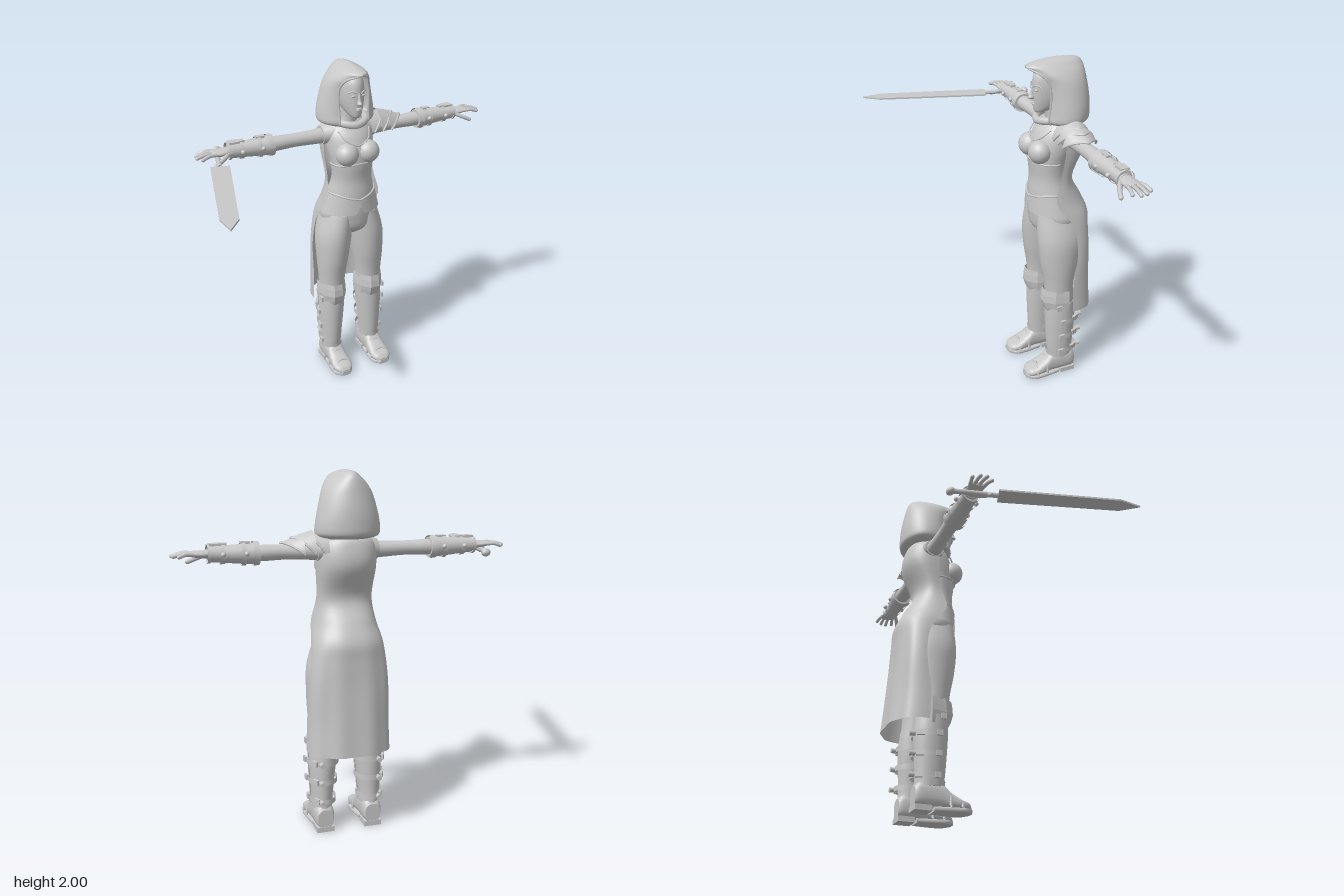
import * as THREE from 'three';

const grey = new THREE.MeshStandardMaterial({ color: 0xc8c8c8, side: THREE.DoubleSide });
grey.name = 'plain grey';

function part(parent, name, geo, pos = [0, 0, 0], scale = [1, 1, 1], rot = [0, 0, 0]) {
  const m = new THREE.Mesh(geo, grey);
  m.name = name;
  m.position.set(...pos);
  m.scale.set(...scale);
  m.rotation.set(...rot);
  parent.add(m);
  return m;
}

// Smooth interpolation through a list of keys, s from 0 to keys.length - 1
function keyAt(keys, s) {
  const n = keys.length - 1, i = Math.min(Math.floor(s), n - 1), t = s - i;
  const [a, b, c, d] = [keys[Math.max(i - 1, 0)], keys[i], keys[i + 1], keys[Math.min(i + 2, n)]];
  return b.map((p, k) => p + 0.5 * t * (c[k] - a[k] + t * (2 * a[k] - 5 * p + 4 * c[k] - d[k]
    + t * (3 * (p - c[k]) + d[k] - a[k]))));
}

// Surface from f(u, v), both 0..1
function grid(nu, nv, f, closed = false) {
  const w = closed ? nu : nu + 1, pos = [], idx = [];
  for (let j = 0; j <= nv; j++) for (let i = 0; i < w; i++) pos.push(...f(i / nu, j / nv, j));
  for (let j = 0; j < nv; j++) for (let i = 0; i < nu; i++) {
    const a = j * w + i, b = j * w + (i + 1) % w;
    idx.push(a, b, b + w, a, b + w, a + w);
  }
  const g = new THREE.BufferGeometry();
  g.setAttribute('position', new THREE.Float32BufferAttribute(pos, 3));
  g.setIndex(idx);
  g.computeVertexNormals();
  return g;
}

const along = {
  x: (t, u, v) => [t, -u, v],
  y: (t, u, v) => [u, t, v],
  z: (t, u, v) => [u, -v, t],
};
const pw = (q, p) => Math.sign(q) * Math.abs(q) ** p;

// Point on a ring whose key is [t, centre, half width, front, back]
function ring(k, a, p = 1, off = 0) {
  const [t, c, r, f, b] = k;
  return [t, c + (r + off) * pw(Math.sin(a), p), (f + b) / 2 + ((f - b) / 2 + off) * pw(Math.cos(a), p)];
}

// Capped solid through rings
function loft(keys, axis = 'y', { seg = 28, sub = 5, p = 1 } = {}) {
  const n = (keys.length - 1) * sub;
  return grid(seg, n + 4, (u, v, j) => {
    const k = keyAt(keys, Math.min(Math.max(j - 2, 0), n) / sub);
    if (j === 0 || j === n + 4) return along[axis](k[0], k[1], (k[3] + k[4]) / 2);
    return along[axis](...ring(k, u * Math.PI * 2, p));
  }, true);
}

// Strip lying on a lofted form between angles a0 and a1
function shell(keys, axis, a0, a1, off, seg = 24, sub = 3) {
  return grid(seg, (keys.length - 1) * sub, (u, v) =>
    along[axis](...ring(keyAt(keys, v * (keys.length - 1)), a0 + (a1 - a0) * u, 1, off)));
}

const tube = (pts, r, seg = 32, closed = false) =>
  new THREE.TubeGeometry(new THREE.CatmullRomCurve3(pts.map(q => new THREE.Vector3(...q)), closed), seg, r, 8, closed);
const box = (x, y, z) => new THREE.BoxGeometry(x, y, z);
const ball = (r) => new THREE.SphereGeometry(r, 24, 16);

const TORSO = [[1.12, 0, .17, -.16, -.45], [1.22, 0, .148, -.158, -.42], [1.32, 0, .125, -.165, -.372],
  [1.42, 0, .13, -.155, -.378], [1.5, 0, .142, -.16, -.42], [1.58, 0, .145, -.19, -.43],
  [1.63, 0, .125, -.225, -.42], [1.665, 0, .07, -.25, -.38]];

function buildTorso(g) {
  part(g, 'torso', loft(TORSO));
  part(g, 'hips', loft([[.95, 0, .07, -.24, -.38], [1.0, 0, .15, -.18, -.455], [1.08, 0, .185, -.165, -.47],
    [1.16, 0, .165, -.16, -.45]]));
  for (const s of [-1, 1]) part(g, 'breast', ball(.068), [s * .068, 1.49, -.185], [1, 1, .96]);
  // Flared tunic hem with a notch in the middle
  part(g, 'tunicHem', grid(72, 6, (u, v) => {
    const a = u * Math.PI * 2, d = Math.abs(Math.atan2(Math.sin(a), Math.cos(a)));
    const top = 1.235 - .035 * Math.max(0, 1 - d), low = 1.108 + .055 * Math.max(0, 1 - d / .13);
    const [, x, z] = ring([0, 0, .15 + .034 * v, -.151 + .004 * v, -.425 - .03 * v], a);
    return [x, top + (low - top) * v, z];
  }, true));
  // Raised trims of the corset
  const trim = (s, dip, r, span) => tube(Array.from({ length: 25 }, (_, i) => {
    const a = (i / 12 - 1) * span, [y, x, z] = ring(keyAt(TORSO, s), a, 1, .004);
    return [x, y - dip * Math.max(0, 1 - Math.abs(a)), z];
  }), r, 60);
  part(g, 'waistTrim', trim(1.15, .035, .006, 1.9));
  part(g, 'underbustTrim', trim(3, -.012, .005, 1.7));
  part(g, 'necklineTrim', tube([[-.1, 1.62, -.235], [-.07, 1.57, -.185], [0, 1.54, -.168], [.07, 1.57, -.185], [.1, 1.62, -.235]], .004));
  part(g, 'neck', loft([[1.63, 0, .065, -.25, -.37], [1.68, 0, .048, -.245, -.35], [1.76, 0, .045, -.23, -.35]]));
  part(g, 'scarf', tube([[0, 1.655, -.195], [.075, 1.665, -.235], [.1, 1.675, -.32], [0, 1.68, -.4], [-.1, 1.675, -.32], [-.075, 1.665, -.235]], .022, 48, true));
}

function buildHead(g) {
  part(g, 'head', loft([[1.7, 0, .015, -.185, -.22], [1.712, 0, .034, -.175, -.27], [1.75, 0, .056, -.168, -.36],
    [1.8, 0, .07, -.164, -.41], [1.86, 0, .075, -.163, -.43], [1.91, 0, .07, -.172, -.43],
    [1.945, 0, .05, -.2, -.41], [1.958, 0, .015, -.25, -.36]]));
  part(g, 'nose', loft([[1.78, 0, .008, -.152, -.18], [1.79, 0, .015, -.138, -.18], [1.81, 0, .01, -.148, -.18],
    [1.85, 0, .007, -.158, -.18]], 'y', { seg: 14 }));
  part(g, 'upperLip', ball(.02), [0, 1.762, -.167], [1, .25, .45]);
  part(g, 'lowerLip', ball(.018), [0, 1.753, -.168], [1, .3, .45]);
  for (const s of [-1, 1]) {
    part(g, 'eye', ball(.014), [s * .031, 1.835, -.172], [1, .5, .5]);
    part(g, 'brow', tube([[s * .012, 1.852, -.16], [s * .035, 1.862, -.168], [s * .056, 1.855, -.19]], .004));
  }
  // Hood: [height, half width, half opening, front, back]
  const hood = [[1.645, .13, .09, -.25, -.44], [1.665, .172, .092, -.225, -.485], [1.72, .174, .092, -.228, -.492],
    [1.8, .158, .096, -.232, -.488], [1.88, .135, .09, -.222, -.475], [1.93, .108, .065, -.18, -.465],
    [1.965, .075, 0, -.122, -.452], [1.988, .042, 0, -.2, -.425], [2.0, 0, 0, -.27, -.36]];
  const hoodAt = (u, v) => {
    const [y, w, o, f, b] = keyAt(hood, v * 8), hw = Math.max(w, 0);
    const m = Math.PI - Math.asin(Math.min(Math.max(o, 0) / (hw + 1e-6), 1)), a = (2 * u - 1) * m;
    return [-hw * Math.sin(a), Math.min(y, 2), b + (f - b) * (1 - Math.cos(a)) / (1 - Math.cos(m))];
  };
  part(g, 'hood', grid(48, 40, hoodAt));
  for (const u of [0, 1]) part(g, 'hoodRim', tube(Array.from({ length: 13 }, (_, i) => hoodAt(u, .06 + i / 12 * .69)), .006));
}

function buildCape(g) {
  // [height, half width, edge, back]
  const keys = [[1.665, .09, -.31, -.42], [1.62, .155, -.29, -.455], [1.5, .163, -.3, -.467], [1.33, .153, -.28, -.395],
    [1.2, .175, -.25, -.455], [1.1, .195, -.32, -.5], [1.0, .208, -.362, -.503], [.85, .222, -.375, -.508],
    [.65, .23, -.35, -.523], [.48, .235, -.355, -.537]];
  part(g, 'cape', grid(48, 45, (u, v) => {
    const [y, w, e, b] = keyAt(keys, v * 9), a = (u - .5) * Math.PI;
    const fold = .007 * Math.max(0, v - .4) * Math.cos(a * 9);
    return [w * pw(Math.sin(a), .9), y, e + (b - e) * pw(Math.max(Math.cos(a), 0), .75) + fold];
  }));
}

function buildLeg(g) {
  part(g, 'trouserLeg', loft([[1.1, .08, .09, -.175, -.455], [.95, .108, .106, -.17, -.45], [.8, .12, .098, -.185, -.425],
    [.65, .128, .083, -.212, -.395], [.48, .13, .074, -.225, -.4]]));
  const shaft = [[.13, .14, .056, -.25, -.4], [.2, .14, .06, -.24, -.4], [.4, .135, .075, -.227, -.41], [.52, .13, .078, -.225, -.4]];
  part(g, 'bootShaft', loft(shaft));
  part(g, 'shinGuard', shell(shaft, 'y', -1.6, 1.6, .007));
  part(g, 'shinGuardCuff', shell([[.135, .14, .062, -.24, -.39], [.165, .14, .064, -.237, -.395]], 'y', -1.6, 1.6, .006));
  // Faceted knee guard
  const knee = shell([[.47, .13, .084, -.215, -.455], [.54, .13, .092, -.19, -.48], [.62, .13, .086, -.2, -.47]], 'y', -1.57, 1.57, 0, 5, 2).toNonIndexed();
  knee.computeVertexNormals();
  part(g, 'kneeGuard', knee);
  part(g, 'kneeBuckle', box(.012, .032, .032), [.217, .51, -.27]);
  // Straps round the calf with buckles outside
  for (const [y, r] of [[.185, .062], [.3, .071], [.41, .079]]) {
    part(g, 'calfStrap', shell([[y - .015, .137, r, -.24, -.41], [y + .015, .137, r, -.24, -.41]], 'y', 1.3, 4.98, .011));
    part(g, 'strapBuckle', box(.014, .03, .032), [.14 + r + .01, y, -.295]);
    part(g, 'strapPlate', box(.016, .03, .04), [.135 + r * .8, y, -.39], undefined, [0, .5, 0]);
    part(g, 'strapEnd', new THREE.CylinderGeometry(.014, .014, .035, 12), [.165, y, -.425], undefined, [Math.PI / 2, 0, 0]);
  }
  // Shoe, running heel to toe
  part(g, 'shoe', loft([[-.405, .14, .045, -.02, -.13], [-.37, .14, .055, -.02, -.16], [-.26, .14, .056, -.02, -.155],
    [-.21, .14, .06, -.02, -.115], [-.15, .14, .064, -.02, -.08], [-.11, .14, .054, -.02, -.068], [-.088, .14, .028, -.022, -.045]], 'z', { p: .75 }));
  part(g, 'sole', loft([[-.3, .14, .05, 0, -.028], [-.2, .14, .063, 0, -.03], [-.13, .14, .063, -.002, -.032], [-.085, .14, .03, -.008, -.036]], 'z', { p: .5 }));
  part(g, 'heel', box(.1, .03, .095), [.14, .015, -.36]);
  for (const [z, h, w] of [[-.15, .084, .064], [-.215, .122, .061]])
    part(g, 'shoeBand', tube([[.14 - w, .03, z], [.14 - w * .8, h * .72, z], [.14, h, z - .01], [.14 + w * .8, h * .72, z], [.14 + w, .03, z]], .008));
}

function buildArm(g) {
  part(g, 'arm', loft([[.08, -1.585, .055, -.275, -.39], [.17, -1.578, .045, -.285, -.378], [.33, -1.58, .039, -.29, -.37],
    [.46, -1.58, .042, -.285, -.375], [.62, -1.58, .036, -.29, -.37], [.74, -1.585, .026, -.295, -.365]], 'x'));
  part(g, 'armhole', loft([[.1, -1.59, .07, -.25, -.41], [.15, -1.585, .058, -.27, -.395], [.168, -1.582, .054, -.275, -.39]], 'x'));
  const bracer = [[.475, -1.58, .054, -.27, -.385], [.5, -1.58, .056, -.27, -.388], [.58, -1.58, .05, -.28, -.383],
    [.66, -1.582, .044, -.285, -.376], [.73, -1.585, .042, -.285, -.374]];
  part(g, 'bracer', loft(bracer, 'x'));
  for (const [s, w] of [[0, .025], [.55, .022], [1.6, .022], [2.9, .025], [3.9, .015]]) {
    const k = keyAt(bracer, s), k2 = [k[0] + w, ...k.slice(1)];
    part(g, 'bracerStrap', shell([k, k2], 'x', 0, Math.PI * 2, .007));
  }
  for (const [x, y] of [[.545, 1.637], [.665, 1.632]]) {
    part(g, 'bracerBuckle', box(.05, .012, .032), [x, y, -.33]);
    for (const s of [-1, 1]) part(g, 'buckleStud', ball(.013), [x, 1.585, -.33 + s * .058]);
  }
  part(g, 'wristPlate', box(.06, .012, .05), [.7, 1.632, -.33]);
  // Open hand
  part(g, 'palm', loft([[.72, -1.585, .024, -.3, -.362], [.77, -1.585, .02, -.285, -.372], [.82, -1.588, .015, -.287, -.374], [.832, -1.588, .01, -.292, -.37]], 'x'));
  [[-.293, -.276, .895], [-.319, -.312, .915], [-.344, -.347, .91], [-.366, -.382, .885]].forEach(([z0, z1, x]) => {
    part(g, 'finger', tube([[.81, 1.588, z0], [(x + .82) / 2, 1.59, (z0 + z1) / 2], [x, 1.58, z1]], .0105, 12));
    part(g, 'fingertip', ball(.0105), [x, 1.58, z1]);
  });
  part(g, 'thumb', tube([[.74, 1.58, -.3], [.785, 1.56, -.272], [.83, 1.54, -.255]], .0125, 12));
  part(g, 'thumbTip', ball(.0125), [.83, 1.54, -.255]);
}

// Overlapping pointed shoulder plates, left side only
function buildPauldron(g) {
  for (const [x0, x1, top, drop] of [[.12, .25, 1.68, .012], [.19, .305, 1.69, .035], [.25, .36, 1.672, .042]]) {
    const at = (u, v) => {
      const a = (u * 2 - 1) * 1.45, h = top - 1.565 - drop * v;
      return [x0 + (x1 - .075 * Math.abs(a) - x0) * v, 1.565 + h * Math.cos(a), -.33 + .1 * Math.sin(a)];
    };
    part(g, 'shoulderPlate', grid(20, 6, at));
    part(g, 'shoulderPlateRim', tube(Array.from({ length: 17 }, (_, i) => at(i / 16, 1)), .006));
  }
}

function buildSword(g) {
  const blade = new THREE.Shape([[-.813, -.226], [-.713, -.195], [-.897, .447], [-.971, .537], [-.982, .41]].map(q => new THREE.Vector2(...q)));
  const geo = new THREE.ExtrudeGeometry(blade, { depth: .01, bevelEnabled: false });
  geo.rotateX(Math.PI / 2);
  part(g, 'blade', geo, [0, 1.555, 0]);
  part(g, 'grip', tube([[-.705, 1.553, -.45], [-.735, 1.553, -.33], [-.765, 1.55, -.21]], .014, 12));
  part(g, 'pommel', ball(.028), [-.7, 1.553, -.457], [1, .8, .75], [0, .26, 0]);
}

export function createModel() {
  const model = new THREE.Group();
  model.name = 'hoodedFighter';
  const body = new THREE.Group();
  body.name = 'body';
  body.position.x = .06;
  model.add(body);
  buildTorso(body);
  buildHead(body);
  buildCape(body);
  for (const side of [1, -1]) {
    const limbs = new THREE.Group();
    limbs.name = side > 0 ? 'leftLimbs' : 'rightLimbs';
    limbs.scale.x = side;
    buildLeg(limbs);
    buildArm(limbs);
    body.add(limbs);
  }
  buildPauldron(body);
  buildSword(model);
  return model;
}
